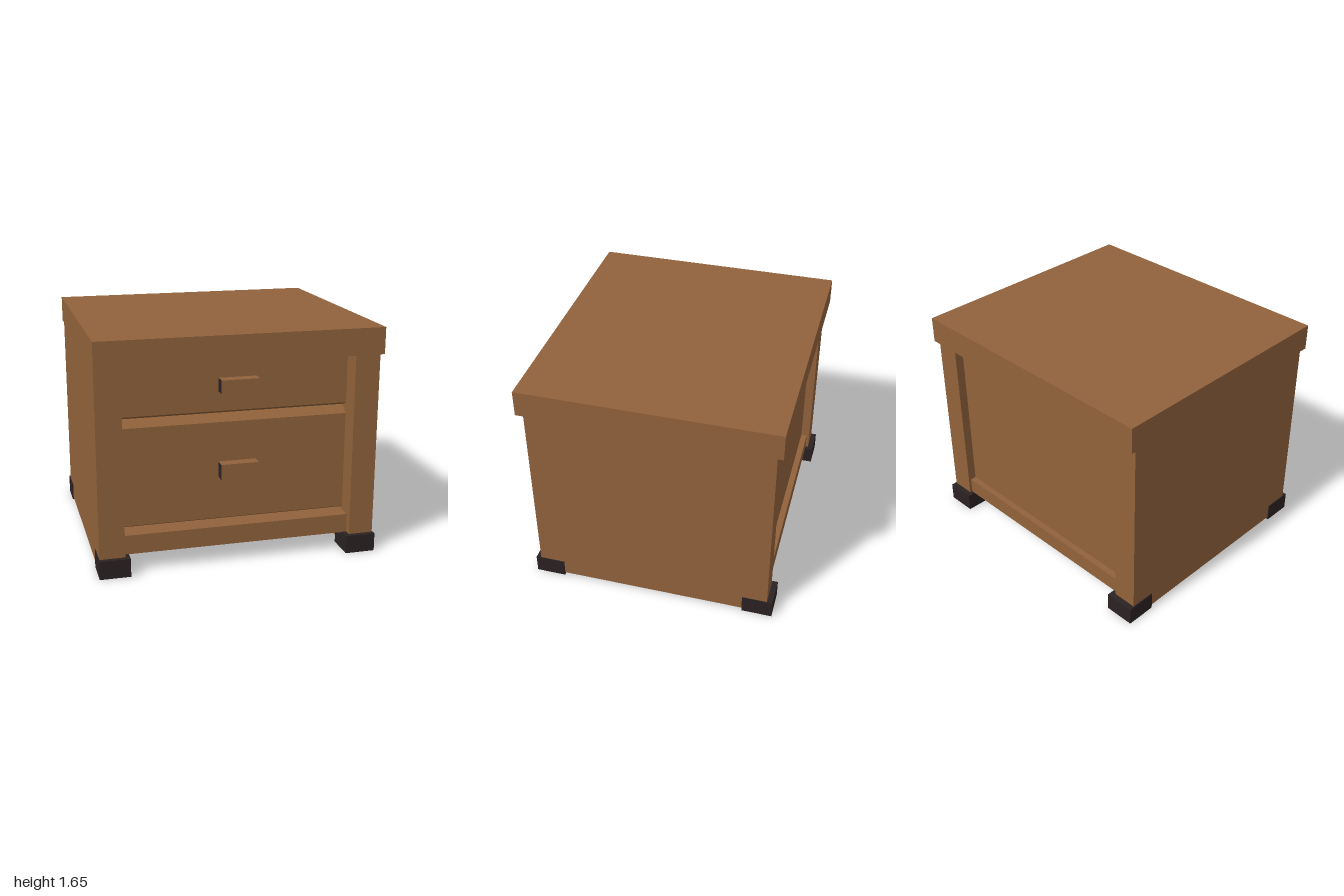
import * as THREE from 'three';

export function createModel() {
  const wood = new THREE.MeshStandardMaterial({ color: 0x91623b });
  wood.name = 'brown wood';
  const dark = new THREE.MeshStandardMaterial({ color: 0x2b2222 });
  dark.name = 'dark foot';

  const root = new THREE.Group();
  root.name = 'nightstand';

  // Box given by its limits on each axis
  function box(name, [x0, x1], [y0, y1], [z0, z1], material = wood, parent = root) {
    const mesh = new THREE.Mesh(new THREE.BoxGeometry(x1 - x0, y1 - y0, z1 - z0), material);
    mesh.position.set((x0 + x1) / 2, (y0 + y1) / 2, (z0 + z1) / 2);
    mesh.name = name;
    parent.add(mesh);
    return mesh;
  }
  // Limits mirrored to the given side
  const mirror = (s, a, b) => (s > 0 ? [a, b] : [-b, -a]);

  // Top slab
  box('topSlab', [-1, 1], [1.462, 1.65], [-0.905, 0.905]);

  // Thick side panels, hollow underneath
  const inX = 0.815, outX = 0.993, backZ = -0.865, frontZ = 0.85, wall = 0.012;
  for (const s of [1, -1]) {
    const side = new THREE.Group();
    side.name = s > 0 ? 'leftSide' : 'rightSide';
    root.add(side);
    box('sidePanel', mirror(s, inX, outX), [0.12, 1.462], [backZ, frontZ], wood, side);
    box('outerSkirt', mirror(s, outX - wall, outX), [0.02, 0.12], [backZ, frontZ], wood, side);
    box('innerSkirt', mirror(s, inX, inX + wall), [0.02, 0.12], [backZ, frontZ], wood, side);
    for (const z of [backZ, frontZ - wall])
      box('endSkirt', mirror(s, inX + wall, outX - wall), [0.02, 0.12], [z, z + wall], wood, side);
  }

  // Carcass: core with back panel, rails at the bottom and under the top
  box('carcass', [-inX, inX], [0.135, 1.462], [-0.8, 0.62]);
  box('backRail', [-inX, inX], [0.13, 0.25], [-0.845, -0.79]);
  box('frontRail', [-inX, inX], [0.13, 0.268], [0.6, 0.8]);
  box('upperRail', [-inX, inX], [1.445, 1.462], [0.6, 0.71]);

  // Drawer front with bevelled edges; the profile is (depth, height)
  function drawer(name, profile, handleY) {
    const shape = new THREE.Shape(profile.map(([z, y]) => new THREE.Vector2(-z, y)));
    const geometry = new THREE.ExtrudeGeometry(shape, { depth: 2 * inX, bevelEnabled: false });
    geometry.rotateY(Math.PI / 2).translate(-inX, 0, 0);
    const group = new THREE.Group();
    group.name = name;
    const front = new THREE.Mesh(geometry, wood);
    front.name = 'drawerFront';
    group.add(front);
    // Bar handle with dark ends
    box('handle', [-0.12, 0.15], handleY, [0.69, 0.78], [dark, dark, wood, wood, wood, wood], group);
    root.add(group);
  }
  drawer('upperDrawer', [[0.6, 1.055], [0.65, 1.055], [0.7, 1.08], [0.7, 1.445], [0.6, 1.445]], [1.22, 1.315]);
  drawer('lowerDrawer', [[0.6, 0.27], [0.65, 0.27], [0.7, 0.295], [0.7, 1.0], [0.64, 1.047], [0.6, 1.047]], [0.605, 0.715]);

  // Foot sleeves, open below, around each corner of the side panels
  function foot(name, s, [z0, z1], [h0, h1]) {
    const rect = (Type, [x0, x1], [a, b]) =>
      new Type([[x0, -b], [x1, -b], [x1, -a], [x0, -a]].map(([x, y]) => new THREE.Vector2(x, y)));
    const shape = rect(THREE.Shape, mirror(s, 0.783, 1), [z0, z1]);
    shape.holes.push(rect(THREE.Path, mirror(s, inX, outX), [h0, h1]));
    const geometry = new THREE.ExtrudeGeometry(shape, { depth: 0.132, bevelEnabled: false });
    geometry.rotateX(-Math.PI / 2);
    const mesh = new THREE.Mesh(geometry, dark);
    mesh.name = name;
    root.add(mesh);
  }
  for (const s of [1, -1]) {
    const label = s > 0 ? 'Left' : 'Right';
    foot('front' + label + 'Foot', s, [0.668, 0.885], [0.7, frontZ]);
    foot('back' + label + 'Foot', s, [-0.905, -0.685], [backZ, -0.717]);
  }

  return root;
}
